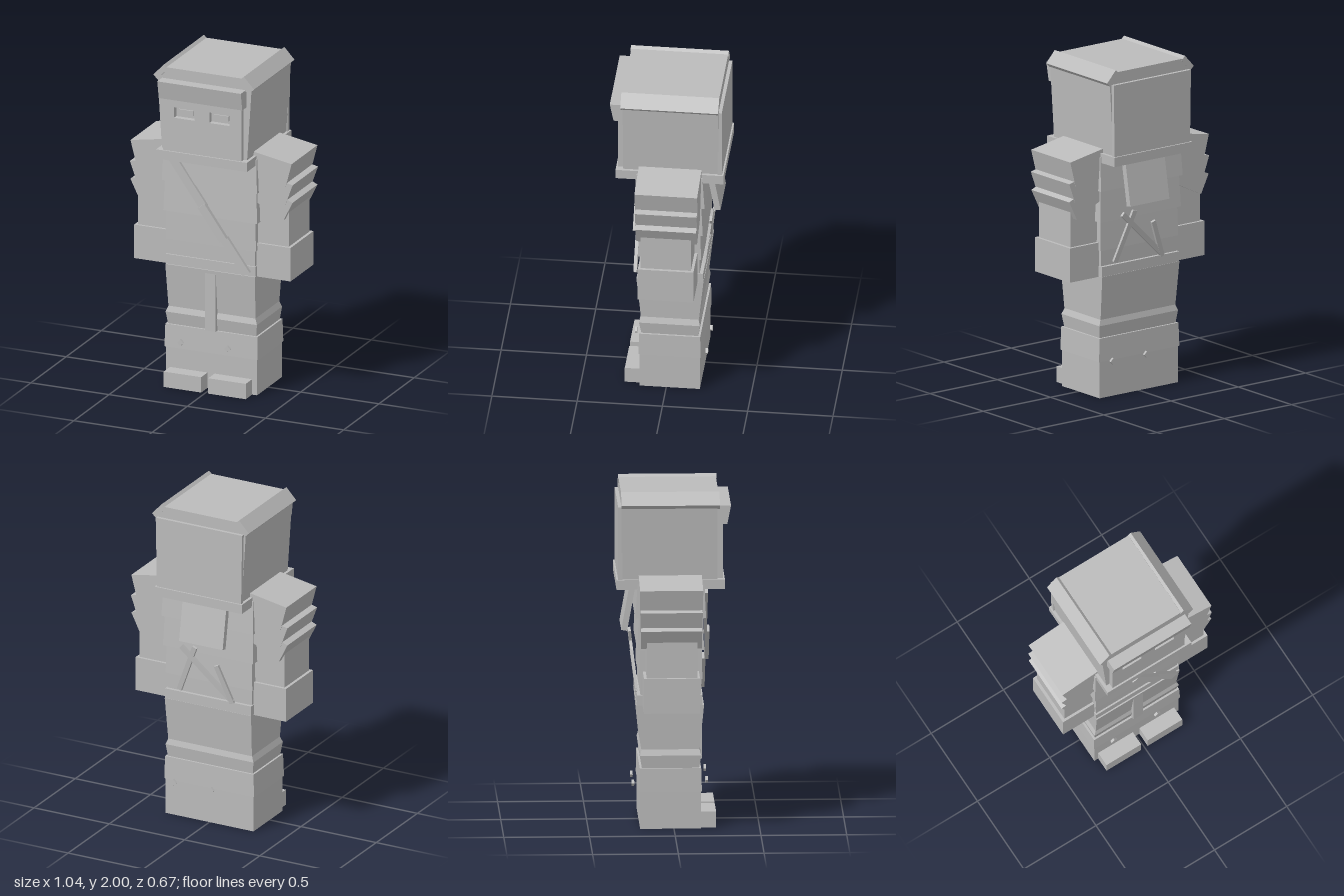
import * as THREE from 'three';

const grey = new THREE.MeshStandardMaterial({ color: 0xbbbbbb, flatShading: true });
grey.name = 'plain grey';

export function createModel() {
  const model = new THREE.Group();

  function add(name, geometry) {
    const mesh = new THREE.Mesh(geometry, grey);
    mesh.name = name;
    model.add(mesh);
    return mesh;
  }

  // axis-aligned box given by its limits
  function box(name, x0, x1, y0, y1, z0, z1) {
    const mesh = add(name, new THREE.BoxGeometry(x1 - x0, y1 - y0, z1 - z0));
    mesh.position.set((x0 + x1) / 2, (y0 + y1) / 2, (z0 + z1) / 2);
    return mesh;
  }

  // four-sided block between two rectangles [halfWidth, zBack, zFront]
  function taper(name, y0, y1, low, high) {
    const g = new THREE.BoxGeometry(2, 1, 1);
    const p = g.attributes.position;
    for (let i = 0; i < p.count; i++) {
      const r = p.getY(i) > 0 ? high : low;
      p.setXYZ(i, p.getX(i) * r[0], p.getY(i) > 0 ? y1 : y0, p.getZ(i) > 0 ? r[2] : r[1]);
    }
    g.computeVertexNormals();
    return add(name, g);
  }

  // front-view outline pushed through a range of z
  function prism(name, points, z0, z1, holes = []) {
    const toShape = (pts) => new THREE.Shape(pts.map(([x, y]) => new THREE.Vector2(x, y)));
    const shape = toShape(points);
    shape.holes = holes.map(toShape);
    const mesh = add(name, new THREE.ExtrudeGeometry(shape, { depth: z1 - z0, bevelEnabled: false }));
    mesh.position.z = z0;
    return mesh;
  }

  // flat bar laid between two points
  function bar(name, a, b, width, depth) {
    const from = new THREE.Vector3(...a), to = new THREE.Vector3(...b);
    const mesh = add(name, new THREE.BoxGeometry(width, from.distanceTo(to), depth));
    mesh.position.copy(from).lerp(to, 0.5);
    const up = from.clone().sub(to).normalize();
    const side = new THREE.Vector3().crossVectors(up, new THREE.Vector3(0, 0, 1)).normalize();
    const out = new THREE.Vector3().crossVectors(side, up);
    mesh.quaternion.setFromRotationMatrix(new THREE.Matrix4().makeBasis(side, up, out));
  }

  // boots
  box('boots', -0.292, 0.292, 0, 0.36, -0.197, 0.157);
  taper('bootCuff', 0.22, 0.36, [0.298, -0.202, 0.163], [0.294, -0.199, 0.159]);
  box('toe', -0.265, -0.025, 0, 0.095, 0.15, 0.247);
  box('toe', 0.02, 0.26, 0, 0.095, 0.15, 0.247);
  for (const [x, y, z] of [[-0.18, 0.27, 0.194], [0.12, 0.275, 0.194], [0.22, 0.22, -0.23], [-0.03, 0.22, -0.23]]) {
    const stud = add('bootStud', new THREE.BoxGeometry(0.028, 0.028, 0.015));
    stud.position.set(x, y, z);
    stud.rotation.z = Math.PI / 4;
  }

  // trousers, bloused above the boots
  taper('trousers', 0.47, 0.735, [0.278, -0.19, 0.15], [0.287, -0.217, 0.176]);
  taper('trouserFold', 0.435, 0.475, [0.292, -0.197, 0.16], [0.276, -0.187, 0.148]);
  taper('trouserHem', 0.36, 0.435, [0.282, -0.187, 0.147], [0.292, -0.197, 0.16]);
  box('trouserStrip', -0.032, 0.035, 0.36, 0.735, 0.1, 0.174);
  box('belt', -0.286, 0.286, 0.73, 0.795, -0.215, 0.168);

  // layered torso
  box('waist', -0.28, 0.28, 0.79, 0.9, -0.195, 0.158);
  taper('torsoLayer', 0.89, 1.08, [0.288, -0.204, 0.166], [0.284, -0.198, 0.162]);
  taper('torsoLayer', 1.065, 1.27, [0.3, -0.215, 0.176], [0.292, -0.205, 0.167]);
  taper('torsoLayer', 1.255, 1.46, [0.304, -0.226, 0.187], [0.296, -0.212, 0.177]);

  // arms with sloping shoulder plates
  const plates = [
    [[0.262, 1.508], [0.515, 1.463], [0.475, 1.31], [0.262, 1.39]],
    [[0.28, 1.39], [0.52, 1.332], [0.475, 1.208], [0.28, 1.275]],
    [[0.28, 1.33], [0.518, 1.222], [0.462, 1.108], [0.27, 1.202]],
  ];
  for (const s of [1, -1]) {
    const span = (a, b) => (s > 0 ? [a, b] : [-b, -a]);
    box('sleeve', ...span(0.27, 0.482), 0.93, 1.3, -0.165, 0.13);
    box('glove', ...span(0.284, 0.5), 0.73, 0.937, -0.182, 0.145);
    plates.forEach((plate, i) =>
      prism('shoulderPlate', plate.map(([x, y]) => [s * x, y]), -0.205 + i * 0.003, 0.163 - i * 0.003));
  }

  // diagonal chest strap in three overlapping lengths
  bar('strapTop', [-0.237, 1.41, 0.191], [-0.03, 1.125, 0.191], 0.053, 0.018);
  bar('strapMiddle', [-0.04, 1.14, 0.203], [0.1, 0.945, 0.203], 0.053, 0.025);
  bar('strapBottom', [0.095, 0.95, 0.187], [0.24, 0.75, 0.187], 0.053, 0.02);

  // hanging flap and rods on the back
  bar('backFlap', [0, 1.43, -0.235], [0, 1.152, -0.285], 0.29, 0.035);
  bar('backRod', [0.16, 1.1, -0.247], [-0.16, 0.8, -0.213], 0.03, 0.016);
  bar('backRod', [-0.07, 1.02, -0.242], [-0.16, 0.79, -0.212], 0.03, 0.016);
  bar('backRod', [0.07, 1.11, -0.247], [0.19, 0.81, -0.213], 0.03, 0.016);

  // head
  box('collar', -0.29, 0.29, 1.425, 1.482, -0.335, 0.298);
  taper('skull', 1.48, 1.91, [0.272, -0.305, 0.255], [0.3, -0.305, 0.255]);
  taper('headBack', 1.48, 1.915, [0.28, -0.325, -0.3], [0.287, -0.325, -0.3]);

  // face with sunken eyes
  const eyes = [[-0.18, -0.05], [0.045, 0.175]];
  prism('face', [[-0.25, 1.48], [0.25, 1.48], [0.25, 1.91], [-0.25, 1.91]], 0.25, 0.288,
    eyes.map(([a, b]) => [[a, 1.69], [a, 1.755], [b, 1.755], [b, 1.69]]));
  for (const [a, b] of eyes) box('eye', a + 0.017, b - 0.017, 1.707, 1.738, 0.25, 0.263);

  // crown, sloping roof rails and forehead visor
  prism('crown', [[-0.297, 1.905], [0.297, 1.905], [0.3, 1.93], [0.24, 1.985], [-0.24, 1.985], [-0.3, 1.93]], -0.305, 0.263);
  for (const s of [1, -1]) {
    prism('roofRail', [[0.322, 1.93], [0.257, 2], [0.232, 1.976], [0.297, 1.905]].map(([x, y]) => [s * x, y]), -0.307, 0.267);
  }
  taper('visor', 1.807, 1.917, [0.267, 0.25, 0.312], [0.267, 0.25, 0.334]);

  return model;
}
